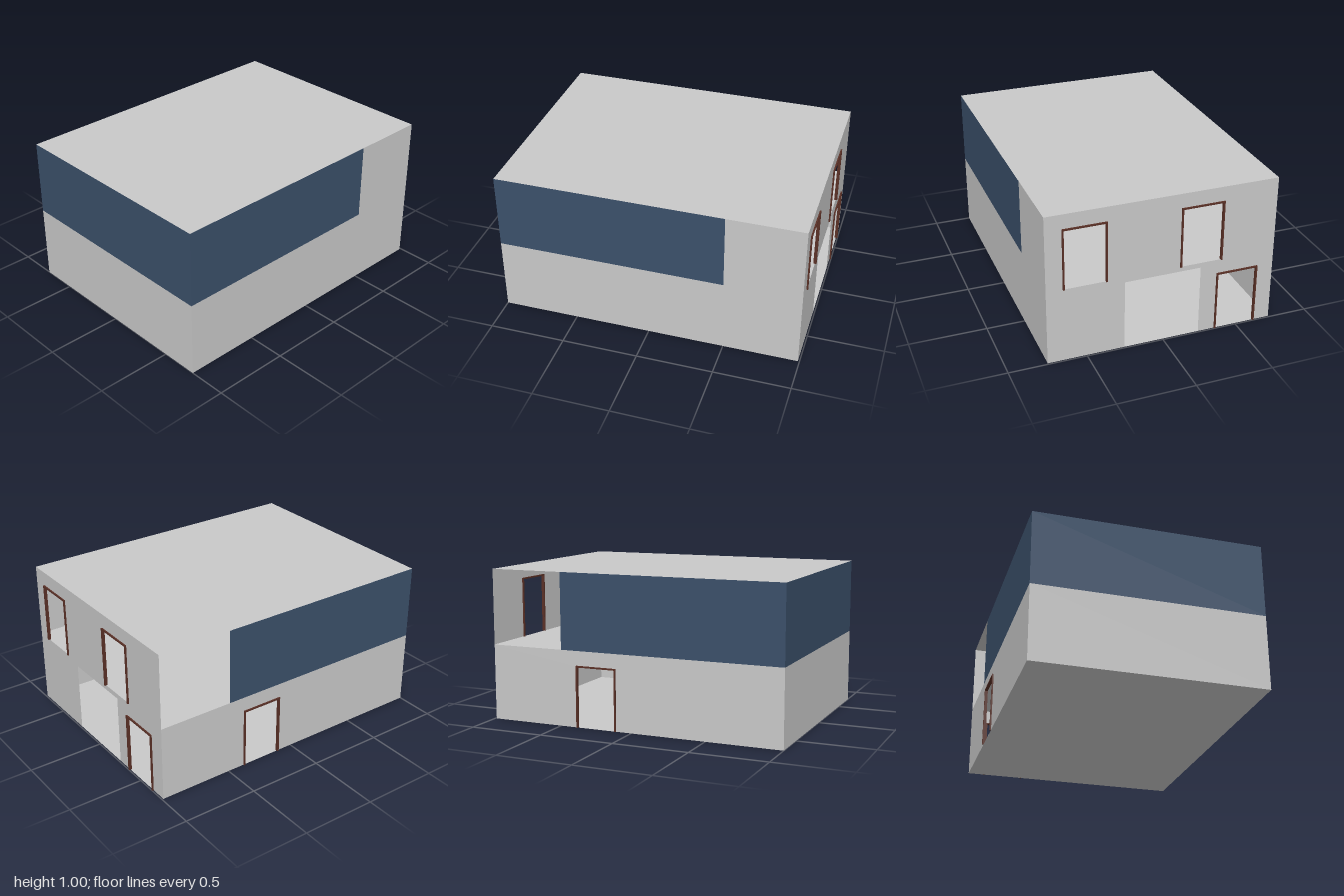
import * as THREE from 'three';

export function createModel() {
  const group = new THREE.Group();
  const material = (name, color) => {
    const m = new THREE.MeshStandardMaterial({ color });
    m.name = name;
    m.side = THREE.DoubleSide;
    return m;
  };
  const wall = material('pale grey plaster', 0xc9c9c9);
  const glass = material('dark blue glazing', 0x3b506a);
  const wood = material('dark brown wood', 0x5a3026);

  // Extents of the shell and height of the upper floor
  const X0 = -1, X1 = 0.99, Z0 = -0.74, Z1 = 0.75, H = 0.995, MID = H / 2;
  const GLASS_END = 0.4925;
  const opening = { half: 0.135, height: 0.398 };

  function rectangle(PathType, a0, b0, a1, b1) {
    const p = new PathType();
    p.moveTo(a0, b0);
    p.lineTo(a1, b0);
    p.lineTo(a1, b1);
    p.lineTo(a0, b1);
    p.closePath();
    return p;
  }

  // Flat panel drawn in (a, y), with optional rectangular holes
  function panel(name, mat, rect, holes = []) {
    const shape = rectangle(THREE.Shape, ...rect);
    shape.holes = holes.map((h) => rectangle(THREE.Path, ...h));
    const mesh = new THREE.Mesh(new THREE.ShapeGeometry(shape), mat);
    mesh.name = name;
    group.add(mesh);
    return mesh;
  }
  const facingFront = (mesh) => { mesh.position.z = Z1; };
  const facingBack = (mesh) => { mesh.rotation.y = Math.PI; mesh.position.z = Z0; };
  const facingRight = (mesh) => { mesh.rotation.y = Math.PI / 2; mesh.position.x = X1; };
  const facingLeft = (mesh) => { mesh.rotation.y = -Math.PI / 2; mesh.position.x = X0; };

  // Floors and roof
  [['groundFloor', 0], ['upperFloor', MID], ['roof', H]].forEach(([name, y]) => {
    const slab = panel(name, wall, [X0, -Z1, X1, -Z0]);
    slab.rotation.x = -Math.PI / 2;
    slab.position.y = y;
  });

  // Front: plain wall with a long glazed band
  facingFront(panel('frontLowerWall', wall, [X0, 0, X1, MID]));
  facingFront(panel('frontUpperWall', wall, [GLASS_END, MID, X1, H]));
  facingFront(panel('frontGlazing', glass, [X0, MID, GLASS_END, H]));

  // Back: doorway below, glazing and an open bay above
  const backDoorX = 0.244;
  facingBack(panel('backLowerWall', wall, [-X1, 0, -X0, MID],
    [[-backDoorX - opening.half, 0.0005, -backDoorX + opening.half, opening.height]]));
  facingBack(panel('backGlazing', glass, [-GLASS_END, MID, -X0, H]));

  // Closed end: grey below, glazing above
  facingLeft(panel('endLowerWall', wall, [Z0, 0, Z1, MID]));
  facingLeft(panel('endGlazing', glass, [Z0, MID, Z1, H]));

  // Open end: two windows, a side door and a wide garage opening
  const framed = [
    ['frontWindowFrame', 0.505, MID],
    ['rearWindowFrame', -0.244, MID],
    ['sideDoorFrame', -0.4925, 0],
  ];
  const holes = framed.map(([, z, y]) =>
    [-z - opening.half, y + 0.0005, -z + opening.half, y + opening.height]);
  holes.push([-0.254, 0.0005, 0.243, 0.465]);
  facingRight(panel('openEndWall', wall, [-Z1, 0, -Z0, H], holes));

  // Frame of two posts and a lintel, running along local x
  function frame(name, x, y, z, turn) {
    const g = new THREE.Group();
    g.name = name;
    const bar = (part, w, h, px, py) => {
      const m = new THREE.Mesh(new THREE.BoxGeometry(w, h, 0.02), wood);
      m.name = part;
      m.position.set(px, py, 0);
      g.add(m);
    };
    for (const s of [-1, 1]) bar('post', 0.01, opening.height, s * opening.half, opening.height / 2);
    bar('lintel', 0.28, 0.01, 0, opening.height);
    g.position.set(x, y, z);
    g.rotation.y = turn;
    group.add(g);
  }
  framed.forEach(([name, z, y]) => frame(name, X1, y, z, Math.PI / 2));
  frame('backDoorFrame', backDoorX, 0, Z0, 0);

  return group;
}
